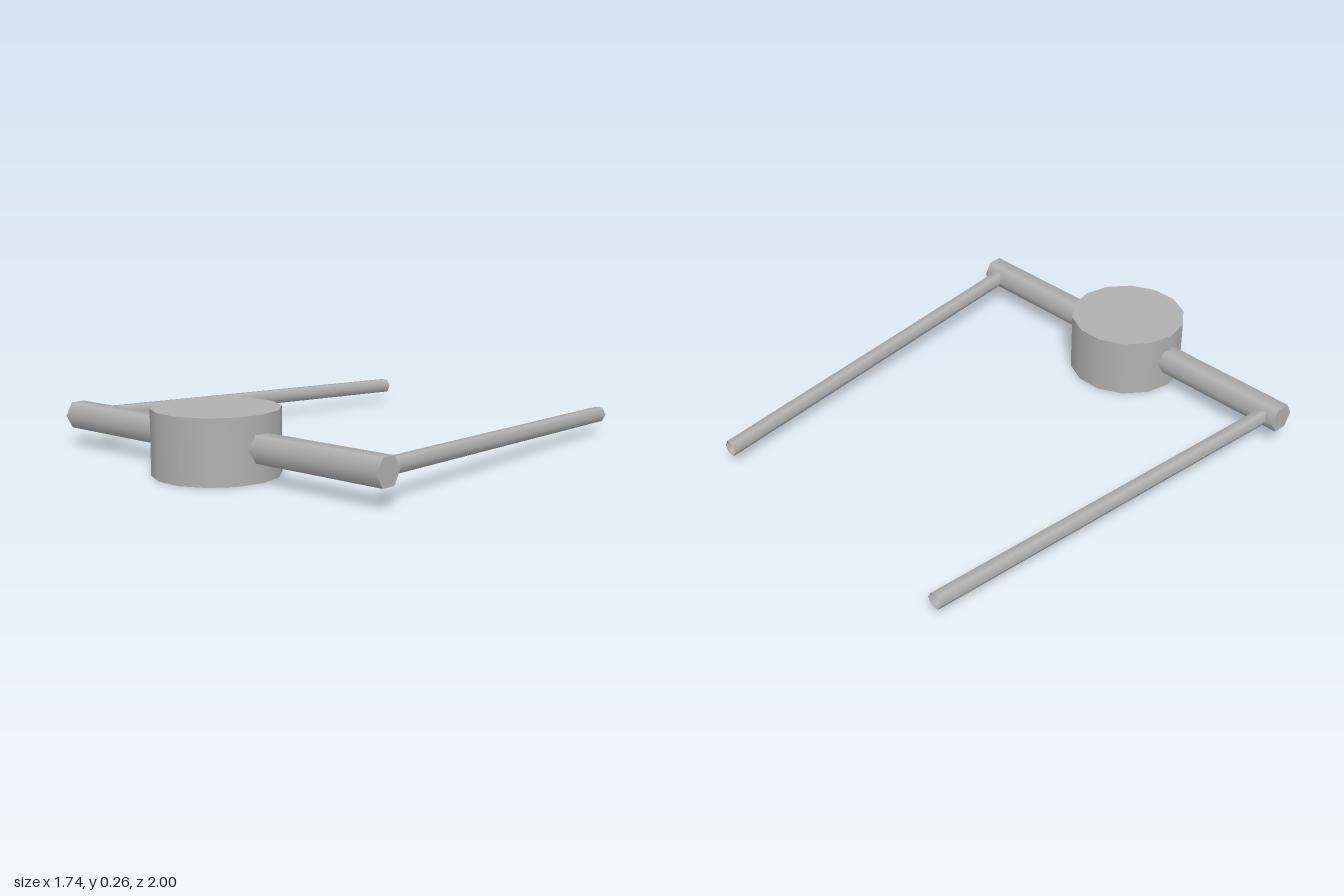
import * as THREE from 'three';

export function createModel() {
  const model = new THREE.Group();
  const grey = new THREE.MeshStandardMaterial({ color: 0xb0b0b0, side: THREE.DoubleSide });
  grey.name = 'plain grey';

  const add = (name, geometry) => {
    const mesh = new THREE.Mesh(geometry, grey);
    mesh.name = name;
    model.add(mesh);
  };

  // Fourteen-sided drum with flats facing front and back
  add('drum', new THREE.CylinderGeometry(0.255, 0.255, 0.262, 14, 1, false, Math.PI / 2)
    .translate(0, 0.131, 0.75));

  // Hexagonal bar running through the drum
  add('crossbar', new THREE.CylinderGeometry(0.063, 0.063, 1.744, 6)
    .rotateZ(Math.PI / 2)
    .translate(0, 0.133, 0.75));

  // Hollow arms, sheared so that their open ends stay square to z
  const frontZ = 0.75, backZ = -1, length = frontZ - backZ;
  for (const side of [1, -1]) {
    const slopeX = side * (0.809 - 0.635) / length;
    const slopeY = (0.133 - 0.082) / length;
    const shear = new THREE.Matrix4().set(
      1, 0, slopeX, side * 0.722,
      0, 1, slopeY, 0.1075,
      0, 0, 1, (frontZ + backZ) / 2,
      0, 0, 0, 1);
    add(side > 0 ? 'leftArm' : 'rightArm',
      new THREE.CylinderGeometry(0.035, 0.035, length, 6, 1, true, Math.PI / 2)
        .rotateX(Math.PI / 2)
        .applyMatrix4(shear));
  }
  return model;
}
